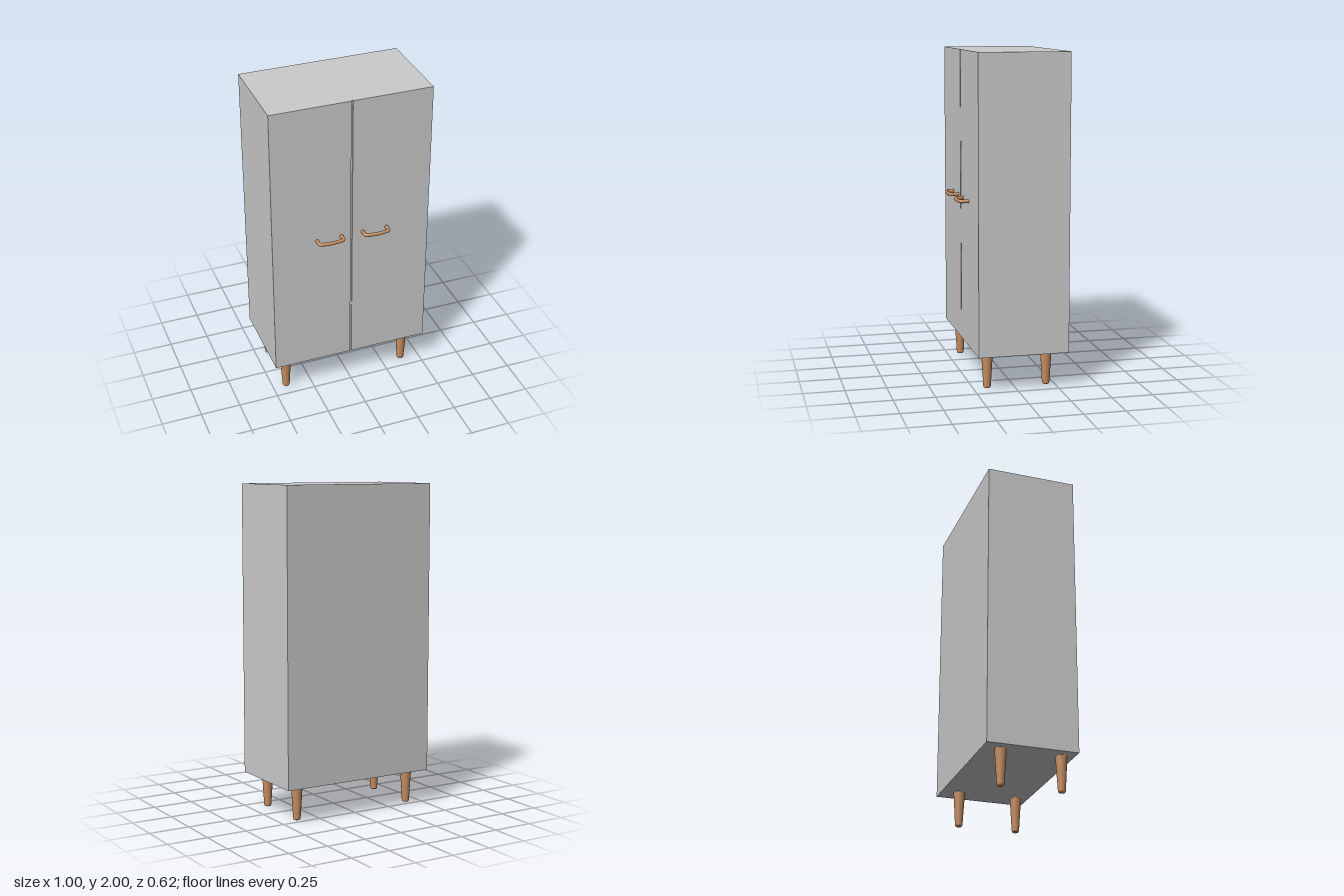
import * as THREE from 'three';

const grey = new THREE.MeshStandardMaterial({ color: 0xcccccc });
const wood = new THREE.MeshStandardMaterial({ color: 0xc68e62 });

const BOTTOM = 0.217, TOP = 2, FRONT = 0.24, BACK = -0.31;

function add(parent, name, geometry, material, x = 0, y = 0, z = 0) {
  const mesh = new THREE.Mesh(geometry, material);
  mesh.name = name;
  mesh.position.set(x, y, z);
  parent.add(mesh);
  return mesh;
}

// Cabinet plan with a narrow groove between the doors, extruded upwards
function cabinetGeometry() {
  const g = 0.005, depth = 0.008;
  const plan = [
    [-0.5, -FRONT], [-g, -FRONT], [-g, -FRONT + depth], [g, -FRONT + depth],
    [g, -FRONT], [0.5, -FRONT], [0.5, -BACK], [-0.5, -BACK],
  ].map(([x, y]) => new THREE.Vector2(x, y));
  return new THREE.ExtrudeGeometry(new THREE.Shape(plan), { depth: TOP - BOTTOM, bevelEnabled: false })
    .rotateX(-Math.PI / 2);
}

// Tapered round leg with a softened foot
function legGeometry() {
  const profile = [
    [0, 0], [0.016, 0], [0.02, 0.003], [0.0225, 0.01], [0.0345, BOTTOM - 0.008], [0.0345, BOTTOM], [0, BOTTOM],
  ].map(([r, y]) => new THREE.Vector2(r, y));
  return new THREE.LatheGeometry(profile, 24);
}

// Bowed pull: two straight posts joined by a bar that swells forward
function handleGeometry() {
  const p = (x, z) => new THREE.Vector3(x, 0, z);
  const path = new THREE.CurvePath();
  path.add(new THREE.LineCurve3(p(-0.077, -0.004), p(-0.077, 0.034)));
  path.add(new THREE.QuadraticBezierCurve3(p(-0.077, 0.034), p(-0.077, 0.0475), p(-0.064, 0.049)));
  path.add(new THREE.QuadraticBezierCurve3(p(-0.064, 0.049), p(0, 0.063), p(0.064, 0.049)));
  path.add(new THREE.QuadraticBezierCurve3(p(0.064, 0.049), p(0.077, 0.0475), p(0.077, 0.034)));
  path.add(new THREE.LineCurve3(p(0.077, 0.034), p(0.077, -0.004)));
  return new THREE.TubeGeometry(path, 60, 0.0108, 12, false);
}

export function createModel() {
  const model = new THREE.Group();
  model.name = 'wardrobe';

  add(model, 'cabinet', cabinetGeometry(), grey, 0, BOTTOM, 0);

  const leg = legGeometry();
  for (const [side, x] of [['right', -0.413], ['left', 0.38]]) {
    for (const [end, z] of [['Front', 0.164], ['Back', -0.2]]) {
      add(model, `${side}${end}Leg`, leg, wood, x, 0, z);
    }
  }

  const handle = handleGeometry();
  add(model, 'rightHandle', handle, wood, -0.142, 1.108, FRONT);
  add(model, 'leftHandle', handle, wood, 0.148, 1.108, FRONT);

  return model;
}
